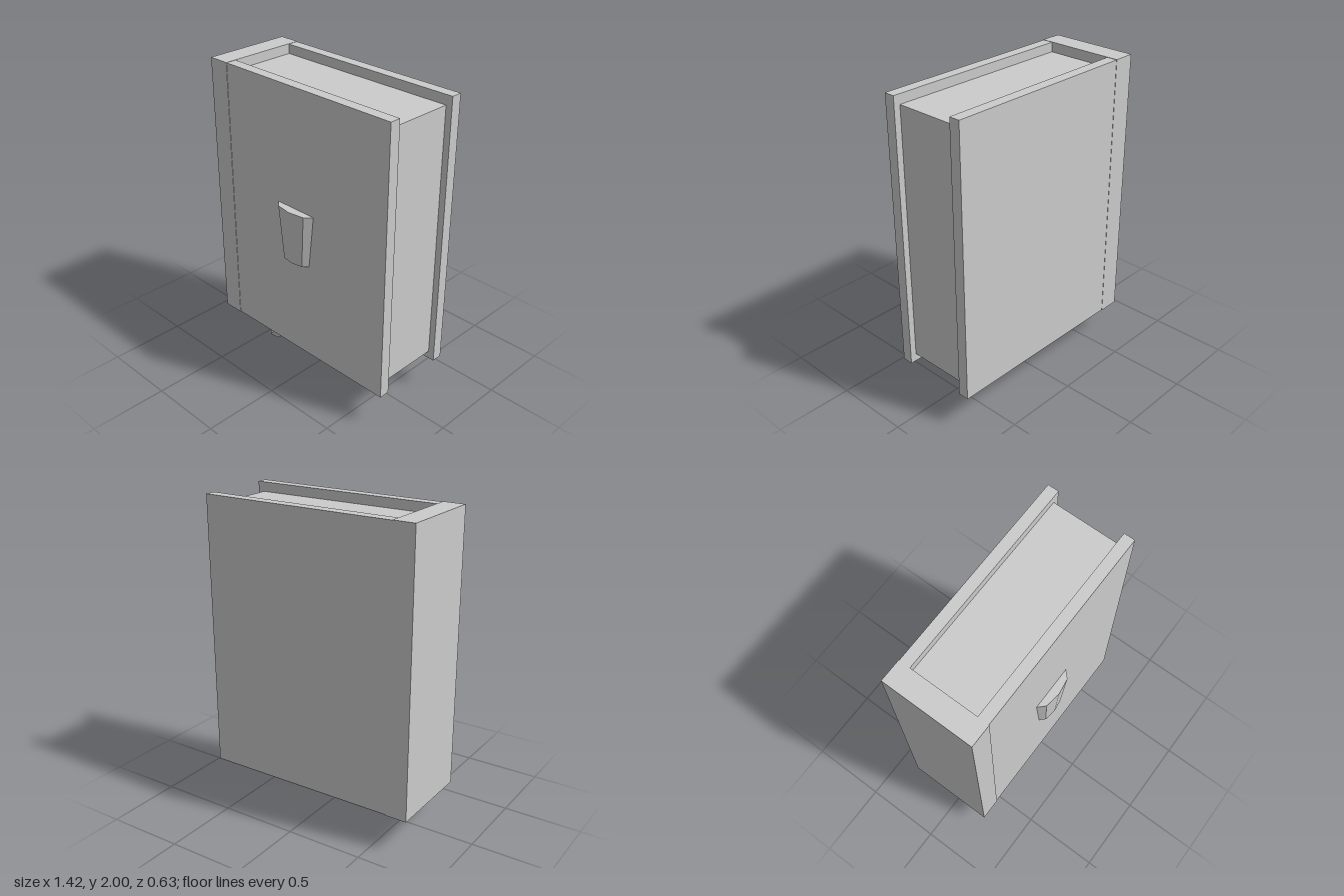
import * as THREE from 'three';

export function createModel() {
  const group = new THREE.Group();
  const grey = new THREE.MeshStandardMaterial({ color: 0xcccccc, flatShading: true });
  grey.name = 'light grey';

  const add = (name, geometry) => {
    const mesh = new THREE.Mesh(geometry, grey);
    mesh.name = name;
    group.add(mesh);
    return mesh;
  };

  // Box from its minimum and maximum corners
  const block = (name, [x0, y0, z0], [x1, y1, z1]) =>
    add(name, new THREE.BoxGeometry(x1 - x0, y1 - y0, z1 - z0))
      .position.set((x0 + x1) / 2, (y0 + y1) / 2, (z0 + z1) / 2);

  // Spine stands slightly proud of both covers; pages are inset
  block('spine', [-0.713, 0.222, -0.317], [-0.572, 2, 0.26]);
  block('frontCover', [-0.572, 0.225, 0.187], [0.711, 1.998, 0.257]);
  block('backCover', [-0.572, 0.225, -0.315], [0.711, 1.998, -0.245]);
  block('pages', [-0.572, 0.277, -0.245], [0.67, 1.937, 0.187]);

  // Tapered, faceted clasp on the front cover
  const profile = new THREE.Shape([
    [-0.148, 0], [0.148, 0], [0.106, 0.042], [0, 0.058], [-0.106, 0.042],
  ].map(([x, z]) => new THREE.Vector2(x, -z)).reverse());
  const clasp = new THREE.ExtrudeGeometry(profile, { depth: 0.355, bevelEnabled: false });
  clasp.rotateX(-Math.PI / 2); // extrusion runs upwards, bulge faces +z
  const p = clasp.attributes.position;
  for (let i = 0; i < p.count; i++) {
    const s = THREE.MathUtils.lerp(0.73, 1, p.getY(i) / 0.355);
    p.setX(i, p.getX(i) * s);
    p.setZ(i, p.getZ(i) * s);
  }
  clasp.computeVertexNormals();
  add('clasp', clasp).position.set(0, 0.88, 0.257);

  // Bent bookmark: two four-sided bars hanging below the pages
  const bar = (name, from, to) => {
    const a = new THREE.Vector3(...from);
    const b = new THREE.Vector3(...to);
    const mesh = add(name, new THREE.CylinderGeometry(0.047, 0.047, a.distanceTo(b), 4));
    mesh.position.copy(a).add(b).multiplyScalar(0.5);
    mesh.quaternion.setFromUnitVectors(new THREE.Vector3(0, 1, 0), a.sub(b).normalize());
  };
  bar('bookmarkUpper', [-0.343, 0.29, 0.038], [-0.343, 0.13, 0.063]);
  bar('bookmarkLower', [-0.335, 0.125, 0.06], [-0.423, 0.037, 0.08]);

  return group;
}
